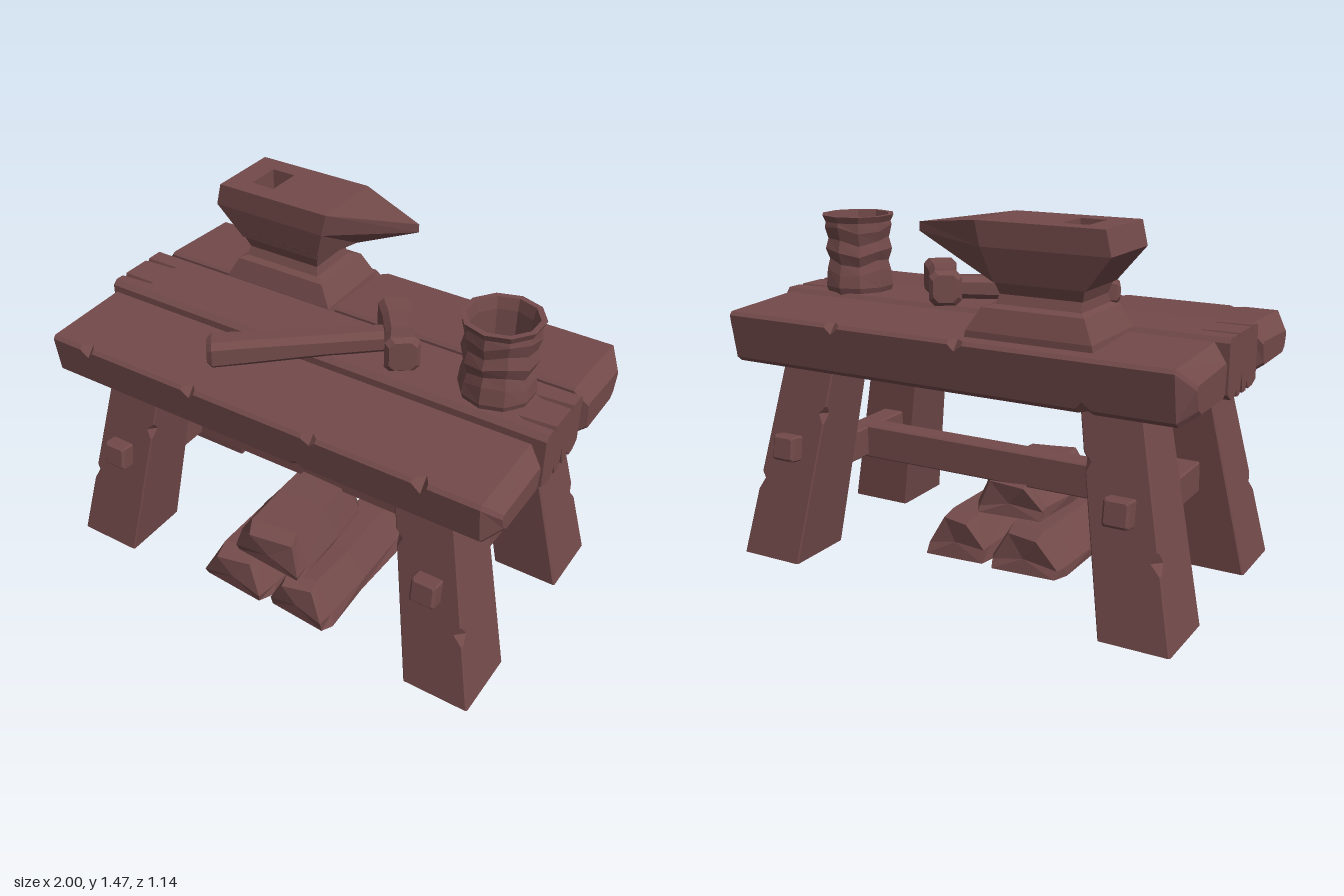
import * as THREE from 'three';

const clay = new THREE.MeshStandardMaterial({ color: 0x734a4a });
clay.name = 'reddish brown';

// Flat-shaded solid through matching cross-sections; always wound outward unless inverted
function loft(sections, { start = true, end = true, invert = false } = {}) {
  const side = [], caps = [[], []];
  const n = sections[0].length;
  for (let s = 0; s < sections.length - 1; s++) {
    const a = sections[s], b = sections[s + 1];
    for (let i = 0; i < n; i++) {
      const j = (i + 1) % n;
      side.push([a[i], a[j], b[j]], [a[i], b[j], b[i]]);
    }
  }
  [sections[0], sections[sections.length - 1]].forEach((loop, k) => {
    const c = [0, 1, 2].map(d => loop.reduce((sum, p) => sum + p[d], 0) / n);
    for (let i = 0; i < n; i++) {
      const j = (i + 1) % n;
      caps[k].push(k ? [c, loop[i], loop[j]] : [c, loop[j], loop[i]]);
    }
  });
  const v = p => new THREE.Vector3(...p);
  const volume = [...side, ...caps[0], ...caps[1]]
    .reduce((sum, [a, b, c]) => sum + v(a).dot(v(b).cross(v(c))), 0);
  let tris = [...side, ...(start ? caps[0] : []), ...(end ? caps[1] : [])];
  if ((volume < 0) !== invert) tris = tris.map(([a, b, c]) => [a, c, b]);
  const geo = new THREE.BufferGeometry();
  geo.setAttribute('position', new THREE.Float32BufferAttribute(tris.flat(2), 3));
  geo.computeVertexNormals();
  return geo;
}

// Four corners, each cut off by its own amount
function cutCorners(corners, cuts) {
  const toward = (p, q, d) => {
    const len = Math.hypot(q[0] - p[0], q[1] - p[1], q[2] - p[2]);
    return p.map((c, i) => c + (q[i] - c) * Math.min(d / len, 0.45));
  };
  return corners.flatMap((p, i) => [
    toward(p, corners[(i + 3) % 4], cuts[i]), toward(p, corners[(i + 1) % 4], cuts[i])]);
}

function add(parent, name, geo) {
  const mesh = new THREE.Mesh(geo, clay);
  mesh.name = name;
  parent.add(mesh);
  return mesh;
}

// Outer plank: bevelled ends and chips [x, corner, size] along its edges
function outerPlank(bottom, top, y0, y1, chips) {
  const section = (x, inset, cuts) => cutCorners([
    [x, y0 + inset * 0.6, bottom[0] + Math.sign(bottom[1] - bottom[0]) * inset],
    [x, y0 + inset * 0.6, bottom[1] - Math.sign(bottom[1] - bottom[0]) * inset * 0.4],
    [x, y1[1] - inset, top[1] - Math.sign(top[1] - top[0]) * inset * 0.4],
    [x, y1[0] - inset, top[0] + Math.sign(top[1] - top[0]) * inset]], cuts);
  const plain = [0.02, 0.012, 0.012, 0.014];
  const list = [section(-1, 0.065, plain), section(-0.945, 0, plain)];
  for (const [x, corner, size] of chips) {
    const chipped = plain.map((c, i) => (i === corner ? size : c));
    list.push(section(x - 0.035, 0, plain), section(x, 0, chipped), section(x + 0.025, 0, plain));
  }
  list.push(section(0.945, 0, plain), section(1, 0.065, plain));
  return loft(list);
}

// Middle plank: split ends that close up toward the centre
function middlePlank() {
  const section = (x, split) => {
    const loop = [[x, 0.85, 0.16], [x, 1.05, 0.16], [x, 1.068, 0.14]];
    for (const z of [0.09, -0.06]) {
      loop.push([x, 1.068, z + 0.012], [x, 1.068 - split * 0.5, z], [x, 1.068, z - 0.012]);
    }
    loop.push([x, 1.068, -0.14], [x, 1.05, -0.155], [x, 0.86, -0.155], [x, 0.835, -0.12]);
    for (const z of [-0.07, -0.01, 0.06]) {
      loop.push([x, 0.832, z - 0.016], [x, 0.832 + split, z], [x, 0.832, z + 0.016]);
    }
    loop.push([x, 0.835, 0.12]);
    return loop;
  };
  return loft([section(-0.99, 0.1), section(-0.84, 0), section(0.84, 0), section(0.99, 0.1)]);
}

// Splayed leg; sx and sz choose the corner of the bench
function leg(sx, sz) {
  const levels = [[0], [0.28], [0.32, 0, 0.035], [0.36], [0.6], [0.64, 1, 0.03], [0.67], [1]];
  return loft(levels.map(([y, corner, size]) => {
    const xo = sx * (0.96 - 0.21 * y), xi = sx * (0.68 - 0.165 * y);
    const zo = sz * (0.548 - 0.137 * y), zi = sz * (0.247 - 0.065 * y);
    const cuts = [0, 1, 2, 3].map(i => (i === corner ? size : 0.006));
    return cutCorners([[xo, y, zo], [xi, y, zo], [xi, y, zi], [xo, y, zi]], cuts);
  }));
}

// Straight bar along z with cut edges, rings given as [z, half width, half height, yShift]
function bar(rings, cut) {
  return loft(rings.map(([z, w, h, dy = 0]) => cutCorners(
    [[-w, dy - h, z], [w, dy - h, z], [w, dy + h, z], [-w, dy + h, z]], [cut, cut, cut, cut])));
}

function anvil() {
  const group = new THREE.Group();
  group.name = 'anvil';
  const rect = (x0, x1, y, z0, z1) => [[x0, y, z0], [x1, y, z0], [x1, y, z1], [x0, y, z1]];
  add(group, 'anvilBase', loft([
    rect(-0.62, -0.105, 1.04, -0.5, -0.14), rect(-0.615, -0.11, 1.07, -0.5, -0.14),
    rect(-0.57, -0.16, 1.155, -0.47, -0.165), rect(-0.545, -0.2, 1.165, -0.435, -0.195),
    rect(-0.54, -0.21, 1.2, -0.42, -0.21), rect(-0.565, -0.19, 1.27, -0.45, -0.185)]));
  // Head outline runs round the body and out to the horn tip
  const head = (x0, x1, y, z0, z1, tx, ty) =>
    [[x0, y, z0], [x1, y, z0], [tx, ty, -0.368], [x1, y, z1], [x0, y, z1]];
  const top = 1.468;
  add(group, 'anvilHead', loft([
    head(-0.565, -0.2, 1.245, -0.45, -0.19, -0.12, 1.265),
    head(-0.672, -0.16, 1.375, -0.48, -0.168, 0.165, 1.395),
    head(-0.65, -0.14, top, -0.48, -0.168, 0.165, 1.43)], { end: false }));
  const face = new THREE.Shape([[-0.65, 0.168], [-0.14, 0.168], [-0.14, 0.48], [-0.65, 0.48]]
    .map(p => new THREE.Vector2(...p)));
  face.holes.push(new THREE.Path([[-0.55, 0.25], [-0.55, 0.4], [-0.445, 0.4], [-0.445, 0.25]]
    .map(p => new THREE.Vector2(...p))));
  add(group, 'anvilFace', new THREE.ShapeGeometry(face).rotateX(-Math.PI / 2).translate(0, top, 0));
  const hornTop = new THREE.BufferGeometry();
  hornTop.setAttribute('position', new THREE.Float32BufferAttribute(
    [-0.14, top, -0.48, -0.14, top, -0.168, 0.165, 1.43, -0.368], 3));
  hornTop.computeVertexNormals();
  add(group, 'hornTop', hornTop);
  add(group, 'toolHole', loft([rect(-0.55, -0.445, 1.38, -0.4, -0.25),
    rect(-0.55, -0.445, top, -0.4, -0.25)], { end: false, invert: true }));
  return group;
}

function hammer() {
  const group = new THREE.Group();
  group.name = 'hammer';
  // The handle lies along local z, the head across it
  add(group, 'hammerHandle', bar([[-0.04, 0.045, 0.045, 0.02], [0.3, 0.048, 0.048, 0.005],
    [0.6, 0.055, 0.055, -0.01], [0.71, 0.06, 0.056, -0.015], [0.73, 0.045, 0.04, -0.015]], 0.022));
  const head = add(group, 'hammerHead', bar([[-0.165, 0.05, 0.055], [-0.145, 0.065, 0.07],
    [-0.06, 0.056, 0.066], [0.06, 0.056, 0.066], [0.145, 0.068, 0.075], [0.165, 0.052, 0.06]], 0.022));
  head.rotation.set(0, Math.PI / 2, 0);
  head.position.y = 0.035;
  group.position.set(0.27, 1.105, -0.045);
  group.rotation.y = Math.atan2(-0.57, 0.42);
  return group;
}

// Dented hollow cup
function cup() {
  const profile = [[0, 1.055], [0.135, 1.055], [0.147, 1.09], [0.14, 1.15], [0.128, 1.19], [0.145, 1.235],
    [0.132, 1.28], [0.146, 1.33], [0.142, 1.36], [0.155, 1.387], [0.132, 1.387],
    [0.122, 1.34], [0.118, 1.12], [0, 1.12]].map(p => new THREE.Vector2(...p));
  const geo = new THREE.LatheGeometry(profile, 10);
  const pos = geo.attributes.position;
  for (let i = 0; i < pos.count; i++) {
    const x = pos.getX(i), y = pos.getY(i), z = pos.getZ(i);
    if (y > 1.1 && y < 1.34) pos.setY(i, y + 0.016 * Math.sin(3 * Math.atan2(z, x) + y * 9));
  }
  const flat = geo.toNonIndexed();
  flat.computeVertexNormals();
  return flat.translate(0.71, 0, -0.01);
}

// Split log: an xy outline run along z with rough, shrunken ends
function log(outline, rings) {
  const cx = outline.reduce((s, p) => s + p[0], 0) / outline.length;
  const base = Math.min(...outline.map(p => p[1]));
  return loft(rings.map(([z, scale, shift = 0], r) => outline.map(([x, y], i) => [
    cx + (x - cx) * scale + shift + 0.006 * Math.sin(i * 5 + r * 3),
    base + (y - base) * scale, z + 0.02 * Math.sin(i * 2.3 + r)])));
}

export function createModel() {
  const model = new THREE.Group();
  model.name = 'workbench';

  // Bench top
  add(model, 'frontPlank', outerPlank([0.55, 0.195], [0.575, 0.18], 0.85, [1.035, 1.048],
    [[-0.77, 3, 0.045], [-0.27, 3, 0.04], [0.2, 0, 0.04], [0.27, 3, 0.035], [0.72, 3, 0.05]]));
  add(model, 'middlePlank', middlePlank());
  add(model, 'backPlank', outerPlank([-0.535, -0.195], [-0.572, -0.18], 0.832, [1.042, 1.06],
    [[-0.6, 0, 0.05], [-0.1, 3, 0.04], [0.45, 3, 0.04]]));

  // Legs and the pegs through them
  for (const sx of [-1, 1]) {
    for (const sz of [-1, 1]) {
      add(model, 'leg', leg(sx, sz));
      const peg = add(model, 'peg', bar([[-0.06, 0.052, 0.052], [0.05, 0.052, 0.052],
        [0.06, 0.042, 0.042]], 0.006));
      peg.position.set(sx * 0.735, 0.485, sz * 0.482);
      peg.rotation.set(-0.14, sz < 0 ? Math.PI : 0, 0, 'YXZ');
    }
    const cross = add(model, 'crossBar', bar([[-0.42, 0.05, 0.065], [0.42, 0.05, 0.065]], 0.006));
    cross.position.set(sx * 0.715, 0.397, 0);
  }
  const stretcher = add(model, 'stretcher', bar([[-0.7, 0.05, 0.072], [0.7, 0.05, 0.072]], 0.006));
  stretcher.position.y = 0.395;
  stretcher.rotation.y = Math.PI / 2;

  // Tools on top
  model.add(anvil(), hammer());
  add(model, 'cup', cup());

  // Pile of split logs below
  add(model, 'leftLog', log([[-0.34, 0], [-0.34, 0.04], [-0.25, 0.185], [-0.09, 0.185],
    [-0.01, 0.04], [-0.01, 0]], [[-0.17, 0.85], [-0.12, 1], [0.15, 0.98], [0.42, 1], [0.5, 0.85]]));
  add(model, 'rightLog', log([[0.005, 0], [0.01, 0.06], [0.08, 0.185], [0.21, 0.185],
    [0.285, 0.05], [0.295, 0]], [[-0.17, 0.9], [-0.1, 1], [0.2, 0.96], [0.44, 1], [0.5, 0.88]]));
  add(model, 'topLog', log([[-0.21, 0.19], [-0.21, 0.235], [-0.12, 0.36], [0.09, 0.355],
    [0.145, 0.21], [0.145, 0.185]], [[-0.06, 0.8, -0.02], [0, 0.92], [0.2, 1], [0.4, 0.98], [0.47, 0.85, 0.02]]));

  return model;
}
